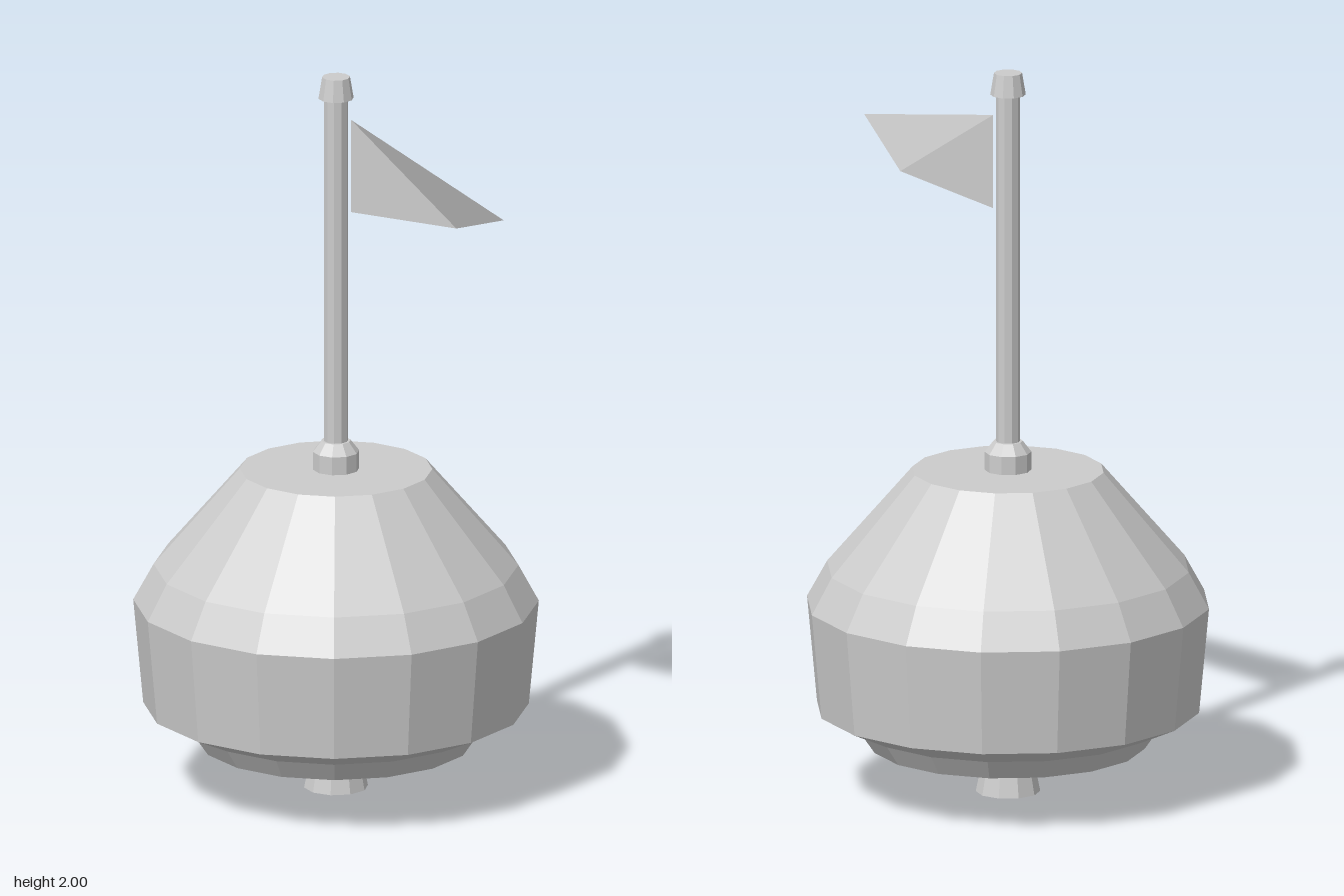
import * as THREE from 'three';

const AXIS_X = -0.063;

// Closed faceted solid of revolution from [radius, y] pairs, listed bottom to top
function turned(name, profile, sides, material) {
  const pts = profile.map(([r, y]) => new THREE.Vector2(r, y));
  const mesh = new THREE.Mesh(new THREE.LatheGeometry(pts, sides), material);
  mesh.name = name;
  return mesh;
}

// Thin pennant folded along the line from its top corner to its lower corner
function pennant(material) {
  const top = [0.033, 1.88, -0.025];
  const bottom = [0.033, 1.62, -0.025];
  const lower = [0.41, 1.65, -0.053];
  const tip = [0.667, 1.745, 0.02];
  const geometry = new THREE.BufferGeometry();
  geometry.setAttribute('position', new THREE.Float32BufferAttribute(
    [bottom, lower, top, top, lower, tip].flat(), 3));
  geometry.computeVertexNormals();
  const mesh = new THREE.Mesh(geometry, material);
  mesh.name = 'flag';
  return mesh;
}

export function createModel() {
  const grey = new THREE.MeshStandardMaterial({ color: 0xcccccc });
  grey.name = 'grey';
  grey.flatShading = true;
  const cloth = grey.clone();
  cloth.name = 'flag grey';
  cloth.side = THREE.DoubleSide;

  const model = new THREE.Group();
  model.name = 'flagBuoy';
  const parts = new THREE.Group();
  parts.name = 'buoyParts';
  parts.position.x = AXIS_X;
  model.add(parts);

  parts.add(
    // Float body
    turned('float', [[0, 0.13], [0.372, 0.13], [0.41, 0.185], [0.52, 0.235],
      [0.547, 0.525], [0.492, 0.625], [0.26, 0.895], [0, 0.895]], 16, grey),
    // Flared foot below the float
    turned('foot', [[0, 0], [0.087, 0], [0.06, 0.135], [0, 0.135]], 10, grey),
    // Collar, pole and cap
    turned('collar', [[0, 0.89], [0.063, 0.89], [0.063, 0.945], [0.04, 0.975], [0, 0.975]], 10, grey),
    turned('pole', [[0, 0.96], [0.033, 0.96], [0.033, 1.95], [0, 1.95]], 10, grey),
    turned('cap', [[0, 1.94], [0.048, 1.94], [0.038, 2], [0, 2]], 10, grey),
    pennant(cloth),
  );
  return model;
}
